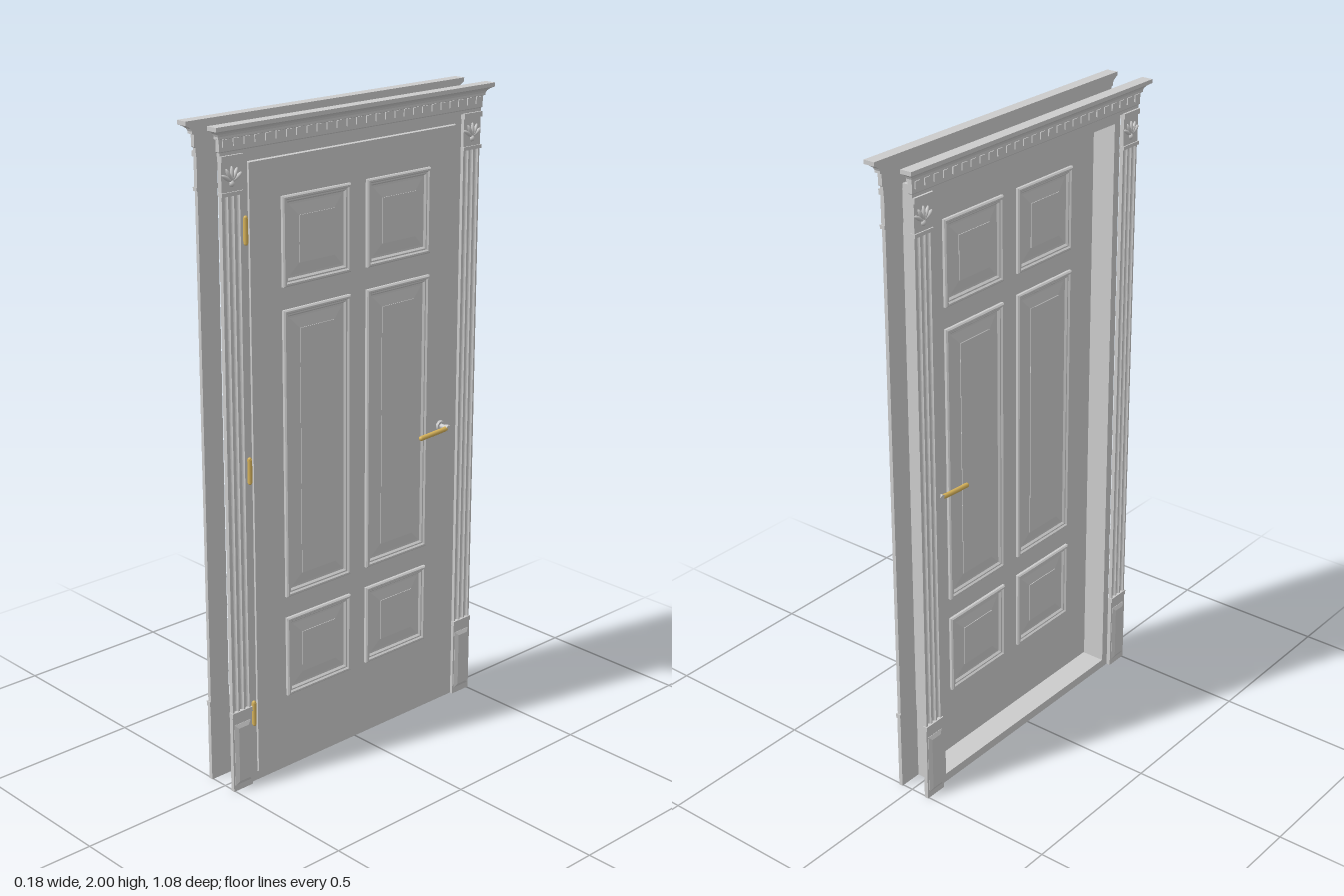
import * as THREE from 'three';

const grey = new THREE.MeshStandardMaterial({ color: 0xcccccc });
const flat = new THREE.MeshStandardMaterial({ color: 0xcccccc, flatShading: true });
const gold = new THREE.MeshStandardMaterial({ color: 0xd6b25a });

function add(parent, name, geometry, material = grey, x = 0, y = 0, z = 0) {
  const mesh = new THREE.Mesh(geometry, material);
  mesh.name = name;
  mesh.position.set(x, y, z);
  parent.add(mesh);
  return mesh;
}

// Box given by its limits on each axis
function box(parent, name, [x0, x1], [y0, y1], [z0, z1], material = grey) {
  return add(parent, name, new THREE.BoxGeometry(x1 - x0, y1 - y0, z1 - z0), material,
    (x0 + x1) / 2, (y0 + y1) / 2, (z0 + z1) / 2);
}

// Closed faceted solid through a list of four-cornered rings
function loft(rings) {
  const pos = [];
  const quad = (a, b, c, d) => pos.push(...a, ...b, ...c, ...a, ...c, ...d);
  for (let r = 0; r + 1 < rings.length; r++) {
    for (let i = 0; i < 4; i++) {
      const j = (i + 1) % 4;
      quad(rings[r][i], rings[r][j], rings[r + 1][j], rings[r + 1][i]);
    }
  }
  quad(...rings[0].slice().reverse());
  quad(...rings[rings.length - 1]);
  const g = new THREE.BufferGeometry();
  g.setAttribute('position', new THREE.Float32BufferAttribute(pos, 3));
  g.computeVertexNormals();
  return g;
}

// Upright rectangle stepping out along +x; steps are [inset, depth]
const relief = (w, h, steps) => loft(steps.map(([inset, x]) => {
  const a = w / 2 - inset, b = h / 2 - inset;
  return [[x, -b, a], [x, -b, -a], [x, b, -a], [x, b, a]];
}));

// Fluted strip with three round grooves, running up y
function flutedShaft(width, depth, height) {
  const s = new THREE.Shape();
  const r = 0.008, pitch = 0.021;
  s.moveTo(-width / 2, 0);
  s.lineTo(width / 2, 0);
  s.lineTo(width / 2, depth);
  for (const c of [pitch, 0, -pitch]) {
    s.lineTo(c + r, depth);
    s.absarc(c, depth, r, 0, -Math.PI, true);
  }
  s.lineTo(-width / 2, depth);
  s.closePath();
  const g = new THREE.ExtrudeGeometry(s, { depth: height, bevelEnabled: false, curveSegments: 6 });
  // shape x -> z, shape y -> x, extrusion -> y
  g.applyMatrix4(new THREE.Matrix4().set(0, 1, 0, 0, 0, 0, 1, 0, 1, 0, 0, 0, 0, 0, 0, 1));
  return g;
}

// Trim on one face: plinths, fluted shafts, capitals and crown; wall plane at x = 0
function casing() {
  const group = new THREE.Group();
  group.name = 'casing';
  for (const side of [1, -1]) {
    const z = side * 0.468;
    // Plinth with raised panel
    box(group, 'plinth', [0, 0.013], [0, 0.26], [z - 0.037, z + 0.037]);
    add(group, 'plinthPanel', relief(0.062, 0.2, [[0, 0.012], [0, 0.014], [0.012, 0.02]]), flat, 0, 0.12, z);
    box(group, 'plinthCap', [0, 0.016], [0.245, 0.26], [z - 0.038, z + 0.038]);
    add(group, 'flutedShaft', flutedShaft(0.07, 0.012, 1.55), grey, 0, 0.26, z);

    // Capital with leaf fan
    box(group, 'capital', [0, 0.013], [1.81, 1.915], [z - 0.036, z + 0.036]);
    box(group, 'capitalBand', [0, 0.017], [1.805, 1.816], [z - 0.038, z + 0.038]);
    box(group, 'capitalTop', [0, 0.018], [1.9, 1.916], [z - 0.038, z + 0.038]);
    for (let i = -2; i <= 2; i++) {
      const a = i * 0.5;
      const leaf = add(group, 'leaf', new THREE.SphereGeometry(1, 10, 8), grey,
        0.013, 1.842 + 0.024 * Math.cos(a), z + 0.022 * Math.sin(a));
      leaf.scale.set(0.008, 0.02, 0.006);
      leaf.rotation.x = a;
    }
    add(group, 'leafBud', new THREE.SphereGeometry(0.009, 12, 8), grey, 0.012, 1.838, z);
  }

  // Crown with returned ends; [depth, height]
  const profile = [[0.011, 1.915], [0.011, 1.925], [0.014, 1.928], [0.014, 1.961], [0.019, 1.963],
    [0.019, 1.97], [0.022, 1.977], [0.028, 1.983], [0.033, 1.986], [0.037, 1.988], [0.037, 2]];
  add(group, 'crown', loft(profile.map(([d, y]) => {
    const z = 0.507 + (d - 0.011) * 1.2;
    return [[0, y, z], [d, y, z], [d, y, -z], [0, y, -z]];
  })), flat);

  // Dentil row
  const count = 27;
  for (let i = 0; i < count; i++) {
    const z = -0.49 + 0.98 * i / (count - 1);
    box(group, 'dentil', [0.012, 0.018], [1.94, 1.961], [z - 0.01, z + 0.01]);
  }
  return group;
}

// Six moulded panels on one face of the slab; slab face at x = 0
function panels() {
  const group = new THREE.Group();
  group.name = 'panels';
  const steps = [[0, -0.002], [0, 0.008], [0.004, 0.012], [0.009, 0.012], [0.013, 0.007],
    [0.017, 0.007], [0.022, 0.001], [0.028, 0.001], [0.062, 0.006], [0.062, 0.008]];
  for (const [y0, y1] of [[0.247, 0.502], [0.57, 1.45], [1.517, 1.777]]) {
    for (const z of [0.162, -0.162]) {
      add(group, 'raisedPanel', relief(0.258, y1 - y0, steps), flat, 0, (y0 + y1) / 2, z);
    }
  }
  return group;
}

// Lever handle; slab face at x = 0
function handle() {
  const group = new THREE.Group();
  group.name = 'handle';
  const disc = (name, r0, r1, h, x) => {
    add(group, name, new THREE.CylinderGeometry(r0, r1, h, 24), grey, x).rotation.z = -Math.PI / 2;
  };
  disc('rose', 0.015, 0.018, 0.006, 0.003);
  disc('neck', 0.007, 0.008, 0.03, 0.018);
  disc('collar', 0.011, 0.011, 0.013, 0.033);
  const path = new THREE.CatmullRomCurve3([[0.033, 0, 0.006], [0.034, -0.002, 0.045], [0.033, -0.006, 0.115]]
    .map((p) => new THREE.Vector3(...p)));
  add(group, 'lever', new THREE.TubeGeometry(path, 16, 0.0075, 12), gold);
  add(group, 'leverTip', new THREE.SphereGeometry(0.0075, 12, 8), gold, 0.033, -0.006, 0.115);
  return group;
}

export function createModel() {
  const model = new THREE.Group();
  model.name = 'door';
  const back = -0.055, front = 0.035;

  // Frame lining
  for (const s of [1, -1]) {
    box(model, 'jamb', [back, front + 0.003], [0, 1.915], [s * 0.418 - 0.013, s * 0.418 + 0.013]);
  }
  box(model, 'headJamb', [back, front + 0.003], [1.889, 1.915], [-0.406, 0.406]);
  box(model, 'threshold', [back, front + 0.003], [0, 0.028], [-0.406, 0.406]);

  // Casing on both faces
  const frontCasing = casing();
  frontCasing.position.x = front;
  const backCasing = casing();
  backCasing.position.x = back;
  backCasing.rotation.y = Math.PI;
  model.add(frontCasing, backCasing);

  // Door slab with panels on both faces
  const slabBack = 0.02, slabFront = 0.044;
  box(model, 'doorSlab', [slabBack, slabFront], [0.031, 1.886], [-0.404, 0.404]);
  const frontPanels = panels();
  frontPanels.position.x = slabFront;
  const backPanels = panels();
  backPanels.position.x = slabBack;
  backPanels.rotation.y = Math.PI;
  model.add(frontPanels, backPanels);

  // Handles on both faces
  const frontHandle = handle();
  frontHandle.position.set(slabFront, 0.953, -0.355);
  const backHandle = handle();
  backHandle.position.set(slabBack, 0.953, -0.355);
  backHandle.scale.x = -1;
  model.add(frontHandle, backHandle);

  // Hinges
  for (const y of [0.23, 1, 1.7]) {
    add(model, 'hingeBarrel', new THREE.CylinderGeometry(0.007, 0.007, 0.07, 16), gold, 0.043, y, 0.418);
    for (const e of [-1, 1]) {
      add(model, 'hingeFinial', new THREE.SphereGeometry(0.006, 12, 8), gold, 0.043, y + e * 0.036, 0.418);
    }
  }
  return model;
}
